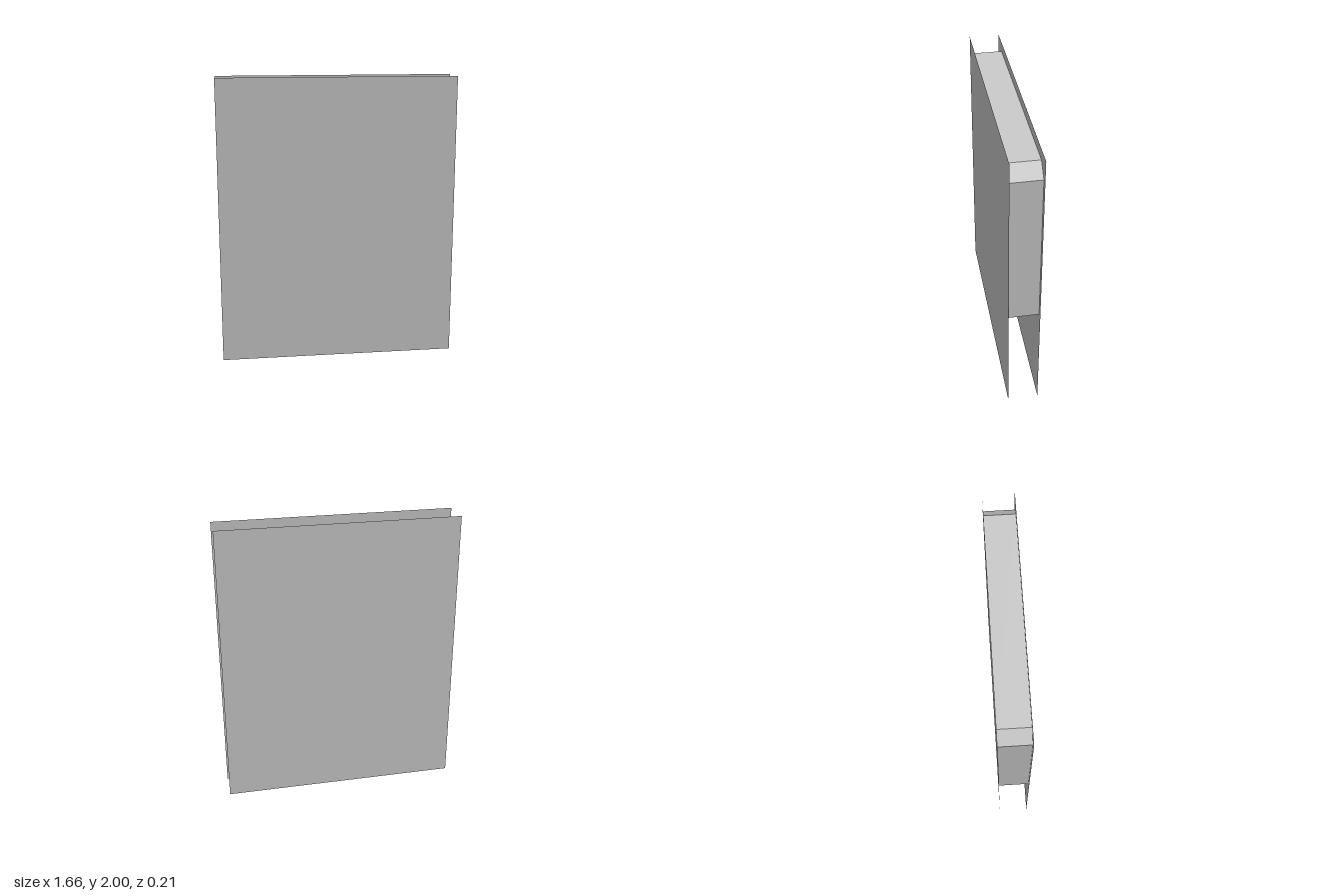
import * as THREE from 'three';

const HALF_DEPTH = 0.105;

export function createModel() {
  const group = new THREE.Group();
  const material = new THREE.MeshStandardMaterial({
    color: 0xcccccc, flatShading: true, side: THREE.DoubleSide,
  });

  // Flat front and back panels
  for (const [name, side] of [['frontPanel', 1], ['backPanel', -1]]) {
    const panel = new THREE.Mesh(new THREE.PlaneGeometry(1.66, 2), material);
    panel.name = name;
    panel.position.set(0, 1, side * HALF_DEPTH);
    if (side < 0) panel.rotation.y = Math.PI;
    group.add(panel);
  }

  // Shield-shaped outline, counter-clockwise from the bottom tip, mirrored in x
  const half = [
    [0.055, 0.08], [0.465, 0.48], [0.79, 0.765], [0.79, 1.845], [0.707, 1.93],
  ];
  const outline = [...half, ...half.map(([x, y]) => [-x, y]).reverse()];

  // Rim band joining the two panels, one flat quad per outline edge
  const positions = [];
  outline.forEach(([ax, ay], i) => {
    const [bx, by] = outline[(i + 1) % outline.length];
    const aFront = [ax, ay, HALF_DEPTH], aBack = [ax, ay, -HALF_DEPTH];
    const bFront = [bx, by, HALF_DEPTH], bBack = [bx, by, -HALF_DEPTH];
    positions.push(...aFront, ...aBack, ...bBack, ...aFront, ...bBack, ...bFront);
  });
  const rimGeometry = new THREE.BufferGeometry();
  rimGeometry.setAttribute('position', new THREE.Float32BufferAttribute(positions, 3));
  rimGeometry.computeVertexNormals();
  const rim = new THREE.Mesh(rimGeometry, material);
  rim.name = 'shieldRim';
  group.add(rim);

  return group;
}
